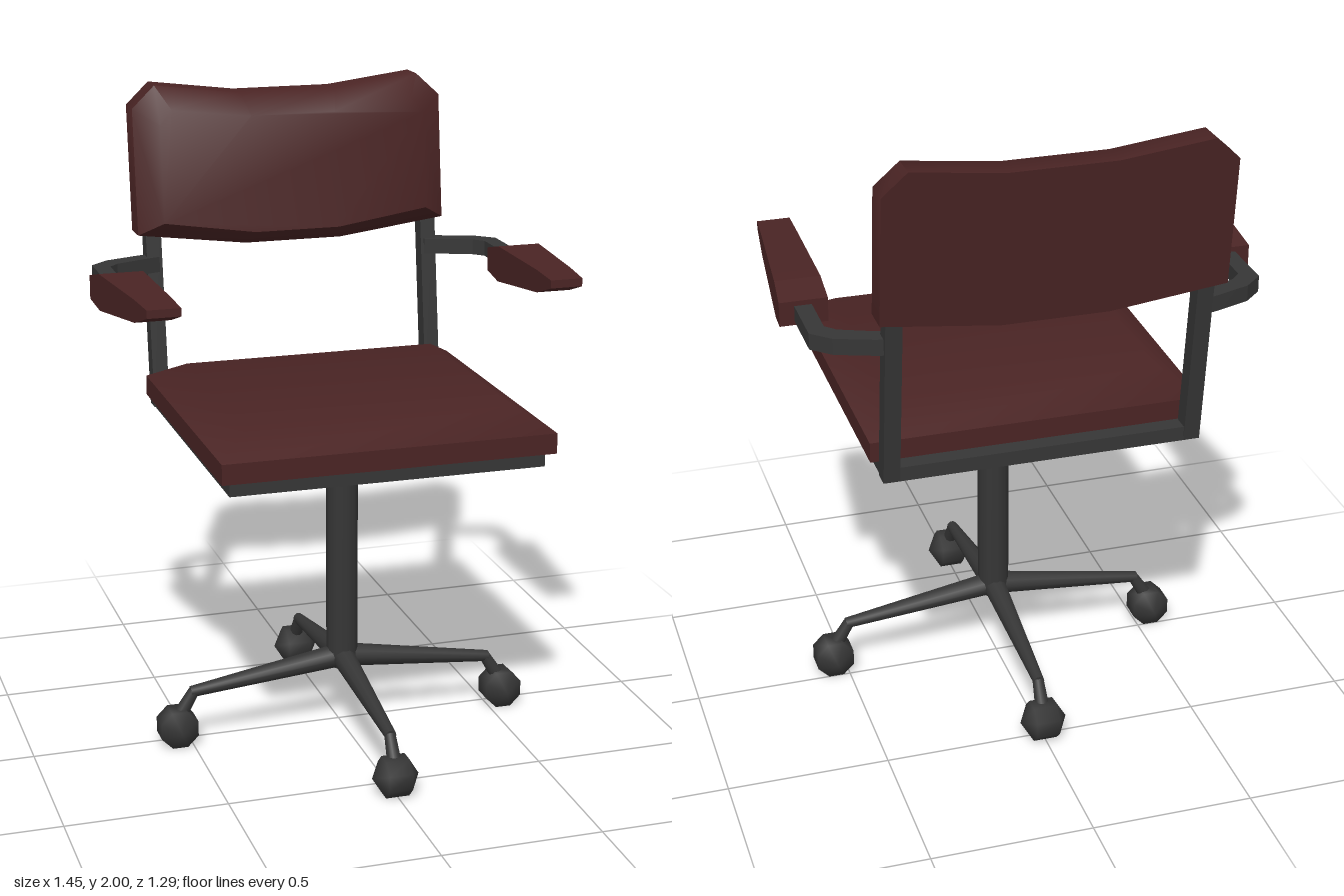
import * as THREE from 'three';
import { toCreasedNormals } from 'three/addons/utils/BufferGeometryUtils.js';

const leather = new THREE.MeshStandardMaterial({ color: 0x4a2424 });
leather.name = 'dark red leather';
const metal = new THREE.MeshStandardMaterial({ color: 0x363636 });
metal.name = 'charcoal metal';

// Maps for lofting: along z (upright outlines) or along y (plan outlines, v = -z)
const alongZ = (u, v, w) => [u, v, w];
const alongY = (u, v, w) => [u, w, -v];

// Solid through counter-clockwise outlines [w, points], capped at both ends
function loft(layers, map, crease = 0.4) {
  const pos = [];
  const put = (k, i) => {
    const [w, pts] = layers[k];
    const p = pts[i % pts.length];
    pos.push(...map(p[0], p[1], w));
  };
  const n = layers[0][1].length;
  const last = layers.length - 1;
  for (let k = 0; k < last; k++) {
    for (let i = 0; i < n; i++) {
      put(k, i); put(k, i + 1); put(k + 1, i + 1);
      put(k, i); put(k + 1, i + 1); put(k + 1, i);
    }
  }
  const cap = (k) => THREE.ShapeUtils.triangulateShape(
    layers[k][1].map(([u, v]) => new THREE.Vector2(u, v)), []);
  for (const [a, b, c] of cap(0)) { put(0, a); put(0, c); put(0, b); }
  for (const [a, b, c] of cap(last)) { put(last, a); put(last, b); put(last, c); }
  const g = new THREE.BufferGeometry();
  g.setAttribute('position', new THREE.Float32BufferAttribute(pos, 3));
  return toCreasedNormals(g, crease);
}

const rect = (x0, x1, y0, y1) => [[x0, y0], [x1, y0], [x1, y1], [x0, y1]];
const mirror = (pts, s) => (s > 0 ? pts : pts.map(([u, v]) => [-u, v]).reverse());

function add(parent, name, geometry, material) {
  const m = new THREE.Mesh(geometry, material);
  m.name = name;
  parent.add(m);
  return m;
}

// Tapered round rod between two points
function rod(parent, name, a, b, ra, rb) {
  const from = new THREE.Vector3(...a), to = new THREE.Vector3(...b);
  const dir = to.clone().sub(from);
  const m = add(parent, name, new THREE.CylinderGeometry(rb, ra, dir.length(), 10), metal);
  m.position.copy(from).add(to).multiplyScalar(0.5);
  m.quaternion.setFromUnitVectors(new THREE.Vector3(0, 1, 0), dir.normalize());
}

export function createModel() {
  const chair = new THREE.Group();
  chair.name = 'swivelChair';

  // Seat: metal pan and bevelled cushion
  add(chair, 'seatPan', loft([
    [0.975, rect(-0.487, 0.487, -0.515, 0.492)],
    [1.02, rect(-0.487, 0.487, -0.515, 0.492)],
  ], alongY), metal);
  add(chair, 'seatCushion', loft([
    [1.02, rect(-0.515, 0.515, -0.54, 0.437)],
    [1.083, rect(-0.515, 0.515, -0.54, 0.437)],
    [1.15, rect(-0.41, 0.41, -0.43, 0.305)],
  ], alongY, 0.83), leather);

  // Backrest: leaning slab with a dipped outline and a padded front
  const rim = [[-0.515, 1.53], [-0.16, 1.485], [0.16, 1.485], [0.515, 1.53], [0.515, 1.93],
    [0.44, 2], [0.16, 1.965], [-0.16, 1.965], [-0.44, 2], [-0.515, 1.93]];
  const pad = [[-0.44, 1.575], [-0.14, 1.53], [0.14, 1.53], [0.44, 1.575], [0.44, 1.885],
    [0.4, 1.93], [0.14, 1.9], [-0.14, 1.9], [-0.4, 1.93], [-0.44, 1.885]];
  const lean = (u, v, w) => [u, v, w - 0.59 - 0.117 * (v - 1.485)];
  add(chair, 'backrest', loft([[0, rim], [0.09, rim], [0.15, pad]], lean, 0.83), leather);

  // Uprights, arm brackets and armrests on both sides
  const bracket = [[0.45, 0.545], [0.45, 0.49], [0.515, 0.467], [0.6, 0.432], [0.63, 0.4],
    [0.63, 0.2], [0.682, 0.2], [0.682, 0.435], [0.625, 0.488], [0.515, 0.527]].reverse();
  bracket.reverse();
  const restSections = [ // z, inner x, outer x, bottom, top
    [-0.245, 0.582, 0.727, 1.4, 1.475],
    [-0.145, 0.58, 0.718, 1.385, 1.5],
    [0.2, 0.575, 0.685, 1.43, 1.5],
    [0.32, 0.572, 0.674, 1.47, 1.495],
  ];
  for (const s of [1, -1]) {
    const side = s > 0 ? 'left' : 'right';
    add(chair, side + 'Upright', loft([
      [0.975, mirror(rect(0.44, 0.49, 0.435, 0.492), s)],
      [1.6, mirror(rect(0.44, 0.49, 0.515, 0.57), s)],
    ], alongY), metal);
    add(chair, side + 'ArmBracket', loft([
      [1.41, mirror(bracket, s)],
      [1.46, mirror(bracket, s)],
    ], alongY), metal);
    add(chair, side + 'Armrest', loft(restSections.map(([z, x0, x1, y0, y1]) =>
      [z, mirror(rect(x0, x1, y0, y1), s)]), alongZ, 0.15), leather);
  }

  // Pedestal with four legs on ball casters
  const base = new THREE.Group();
  base.name = 'base';
  base.position.z = 0.037;
  chair.add(base);
  rod(base, 'column', [0, 0.25, 0], [0, 0.98, 0], 0.05, 0.05);
  rod(base, 'hub', [0, 0.205, 0], [0, 0.28, 0], 0.03, 0.05);
  for (let i = 0; i < 4; i++) {
    const leg = new THREE.Group();
    leg.name = 'leg' + (i + 1);
    leg.rotation.y = i * Math.PI / 2;
    base.add(leg);
    rod(leg, 'legArm', [0, 0.245, 0], [0.5, 0.178, 0], 0.038, 0.018);
    rod(leg, 'casterStem', [0.49, 0.18, 0], [0.545, 0.09, 0], 0.018, 0.024);
    const ball = new THREE.SphereGeometry(0.074, 8, 3);
    ball.rotateY(Math.PI / 8).rotateX(Math.PI / 2);
    add(leg, 'caster', ball, metal).position.set(0.545, 0.066, 0);
  }

  // Rest the casters exactly on the floor
  chair.updateMatrixWorld(true);
  const box = new THREE.Box3().setFromObject(chair, true);
  base.position.y -= box.min.y;
  return chair;
}
